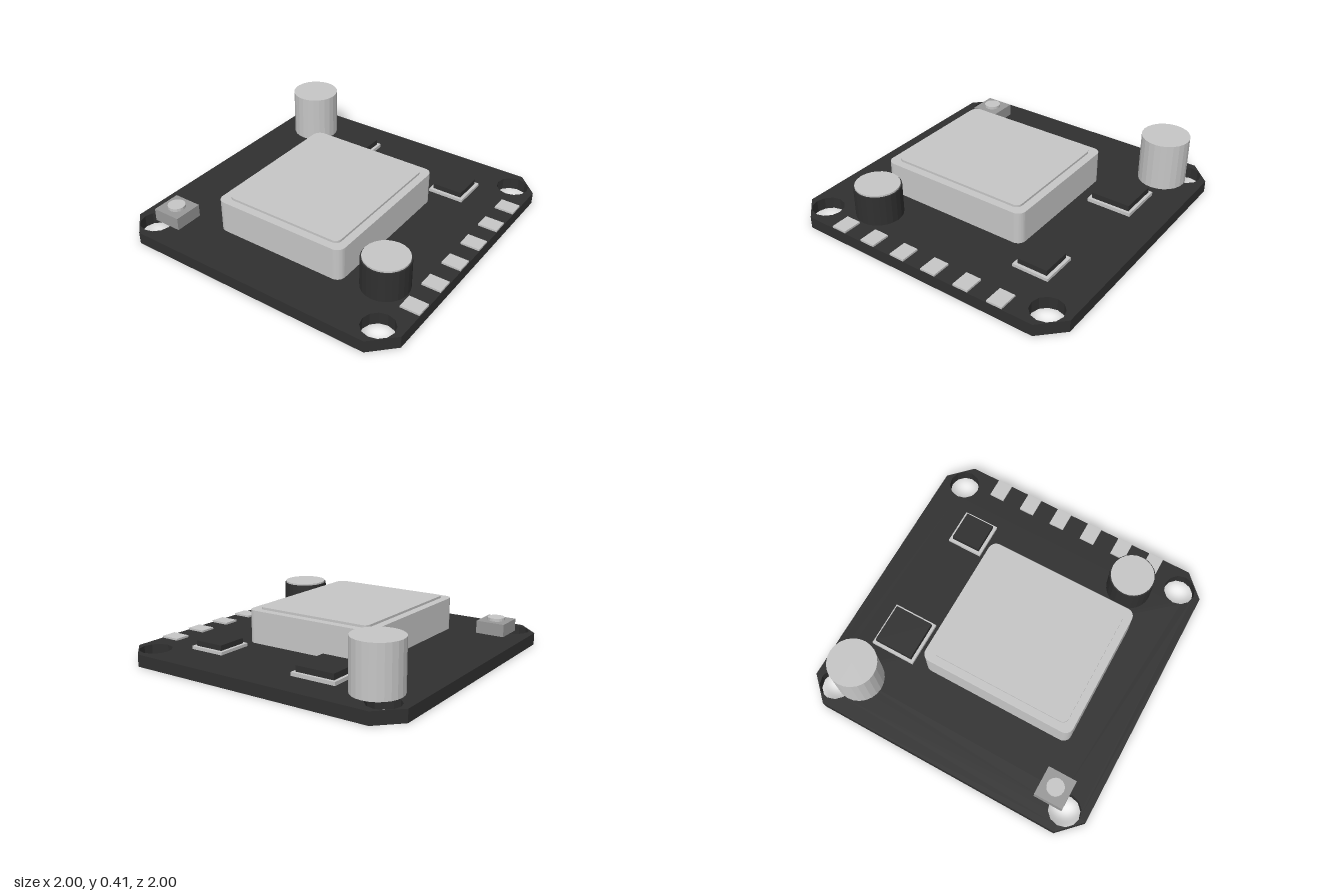
import * as THREE from 'three';

const boardBlack = new THREE.MeshStandardMaterial({ color: 0x303030 });
const paleMetal = new THREE.MeshStandardMaterial({ color: 0xc6c6c6 });
const midGrey = new THREE.MeshStandardMaterial({ color: 0x989898 });
const TOP = 0.08; // upper surface of the board

export function createModel() {
  const model = new THREE.Group();

  const add = (name, geometry, material, x, y, z) => {
    const mesh = new THREE.Mesh(geometry, material);
    mesh.name = name;
    mesh.position.set(x, y, z);
    model.add(mesh);
  };

  // Box given by its centre, footprint and height range
  const block = (name, mat, x, z, w, d, y0, y1) =>
    add(name, new THREE.BoxGeometry(w, y1 - y0, d), mat, x, (y0 + y1) / 2, z);

  // Faceted upright cylinder
  const drum = (name, mat, x, z, r, y0, y1, sides = 24) => {
    const g = new THREE.CylinderGeometry(r, r, y1 - y0, sides).toNonIndexed();
    g.computeVertexNormals();
    add(name, g, mat, x, (y0 + y1) / 2, z);
  };

  // Flat outline extruded upwards
  const slab = (name, mat, shape, x, z, y0, y1) => {
    const g = new THREE.ExtrudeGeometry(shape, { depth: y1 - y0, bevelEnabled: false, curveSegments: 5 });
    g.rotateX(-Math.PI / 2);
    add(name, g, mat, x, y0, z);
  };

  const roundedRect = (w, d, r) => {
    const s = new THREE.Shape();
    const a = w / 2 - r, b = d / 2 - r;
    s.absarc(a, b, r, 0, Math.PI / 2);
    s.absarc(-a, b, r, Math.PI / 2, Math.PI);
    s.absarc(-a, -b, r, Math.PI, Math.PI * 1.5);
    s.absarc(a, -b, r, Math.PI * 1.5, Math.PI * 2);
    s.closePath();
    return s;
  };

  // Board with clipped corners and four mounting holes
  const c = 0.853;
  const outline = new THREE.Shape([
    [1, -c], [1, c], [c, 1], [-c, 1], [-1, c], [-1, -c], [-c, -1], [c, -1],
  ].map(([x, y]) => new THREE.Vector2(x, y)));
  for (const sx of [-1, 1]) for (const sy of [-1, 1]) {
    const ring = [];
    for (let i = 0; i < 12; i++) {
      const t = -i * Math.PI / 6;
      ring.push(new THREE.Vector2(sx * 0.85 + 0.105 * Math.cos(t), sy * 0.85 + 0.105 * Math.sin(t)));
    }
    outline.holes.push(new THREE.Path(ring));
  }
  slab('board', boardBlack, outline, 0, 0, 0, TOP);

  // Shielded module with raised lid
  slab('shieldCan', paleMetal, roundedRect(1.066, 0.936, 0.055), -0.136, -0.002, TOP, 0.298);
  slab('shieldLid', paleMetal, roundedRect(0.96, 0.83, 0.04), -0.136, -0.002, 0.298, 0.313);

  // Capacitor and buzzer
  drum('capacitor', paleMetal, 0.73, -0.735, 0.16, TOP, 0.405);
  drum('buzzerBody', boardBlack, -0.536, 0.697, 0.153, TOP, 0.285);
  drum('buzzerCap', paleMetal, -0.536, 0.697, 0.145, 0.285, 0.296);

  // Antenna connector
  block('connectorBase', midGrey, -0.737, -0.768, 0.197, 0.197, TOP, 0.165);
  drum('connectorPost', paleMetal, -0.737, -0.768, 0.058, 0.165, 0.185, 16);

  // Chips on their lead frames
  block('largeChipLeads', paleMetal, 0.63, -0.338, 0.31, 0.31, TOP, 0.104);
  block('largeChipBody', boardBlack, 0.63, -0.338, 0.27, 0.27, 0.104, 0.143);
  block('smallChipLeads', paleMetal, 0.598, 0.532, 0.248, 0.248, TOP, 0.1);
  block('smallChipBody', boardBlack, 0.598, 0.532, 0.205, 0.205, 0.1, 0.135);

  // Row of edge contacts
  for (let i = 0; i < 6; i++) {
    block('edgeContact', paleMetal, -0.603 + i * 0.2395, 0.932, 0.105, 0.13, TOP, 0.093);
  }
  return model;
}
